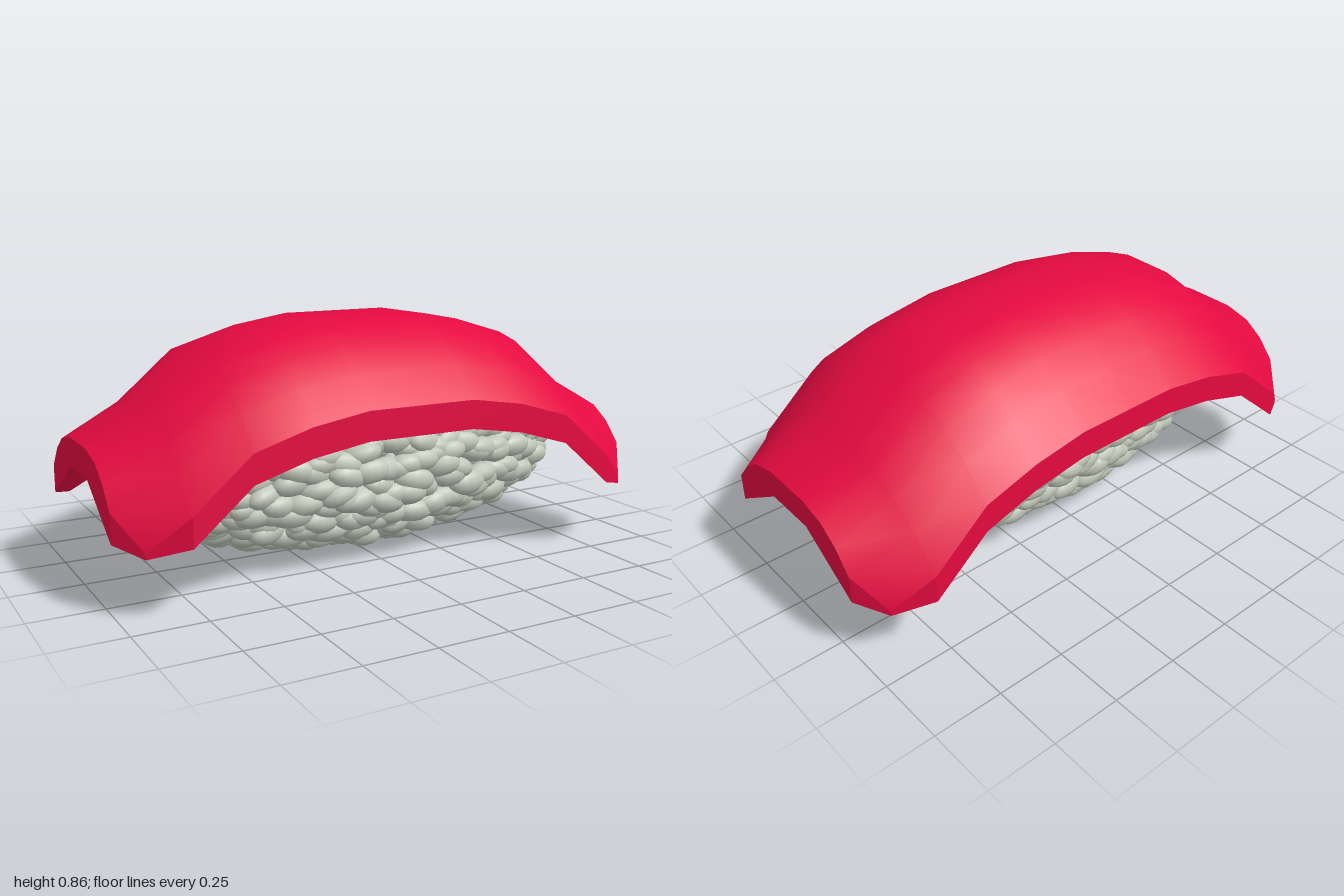
import * as THREE from 'three';
import { mergeGeometries } from 'three/addons/utils/BufferGeometryUtils.js';

const N = 10;            // cells per side of the topping
const THICK = 0.1;
const HALF_Z = 0.513;
const HEIGHT_X = [0.857, 0.857, 0.825, 0.765, 0.595, 0.487]; // centre to end
const DROP_Z = [0, 0, 0.025, 0.075, 0.15, 0.253];            // centre to side
const END_Z = [0, 0.1, 0.2, 0.275, 0.34, 0.44];              // rows drawn in at the ends

// Point on top of the draped slab at grid position i (along x), j (along z)
function topPoint(i, j) {
  const a = Math.abs(i - N / 2), b = Math.abs(j - N / 2);
  let x = a * 0.2, y = HEIGHT_X[a] - DROP_Z[b];
  const z = a === 5 ? END_Z[b] : b * HALF_Z / 5;
  if (a === 5 && b === 5) { x = 0.925; y = 0.225; }          // cut, thinned corner
  return [Math.sign(i - N / 2) * x, y, Math.sign(j - N / 2) * z];
}

// Matching point below; the end arches have straight lower flanks
function bottomPoint(i, j) {
  const [x, y, z] = topPoint(i, j);
  const b = Math.abs(j - N / 2), end = i === 0 || i === N;
  if (end && b === 5) return [x, 0.207, z];
  if (end && b > 1) return [x, 0.387 - (Math.abs(z) - 0.1) * 0.625, z];
  return [x, y - THICK, z];
}

// Smooth sheet through a grid of points; up = true faces upwards
function sheet(point, up) {
  const pos = [], index = [];
  for (let i = 0; i <= N; i++) {
    for (let j = 0; j <= N; j++) {
      pos.push(...point(i, j));
      if (i === N || j === N) continue;
      const a = i * (N + 1) + j, b = a + 1, c = a + N + 1, d = c + 1;
      if (up) index.push(a, b, d, a, d, c);
      else index.push(a, d, b, a, c, d);
    }
  }
  const g = new THREE.BufferGeometry();
  g.setAttribute('position', new THREE.Float32BufferAttribute(pos, 3));
  g.setIndex(index);
  g.computeVertexNormals();
  return g;
}

// Flat-faced vertical rim joining the two sheets
function rim() {
  const loop = [];
  for (let k = 0; k < N; k++) loop.push([k, N]);
  for (let k = N; k > 0; k--) loop.push([N, k]);
  for (let k = N; k > 0; k--) loop.push([k, 0]);
  for (let k = 0; k < N; k++) loop.push([0, k]);
  const pos = [];
  loop.forEach((here, k) => {
    const next = loop[(k + 1) % loop.length];
    const p = topPoint(...here), q = topPoint(...next);
    const pl = bottomPoint(...here), ql = bottomPoint(...next);
    pos.push(...pl, ...ql, ...q, ...pl, ...q, ...p);
  });
  const g = new THREE.BufferGeometry();
  g.setAttribute('position', new THREE.Float32BufferAttribute(pos, 3));
  g.computeVertexNormals();
  return g;
}

// Small seeded random, -1 to 1
function seeded(seed) {
  return () => {
    seed = (seed * 16807) % 2147483647;
    return (seed / 2147483647) * 2 - 1;
  };
}

// Ellipsoid mound covered in irregular, slightly tilted grains
function grains() {
  const rand = seeded(71), list = [], count = 720;
  const base = new THREE.SphereGeometry(1, 12, 8).rotateZ(Math.PI / 2);
  const m = new THREE.Matrix4(), q = new THREE.Quaternion(), e = new THREE.Euler();
  for (let k = 0; k < count; k++) {
    const u = 1 - 2 * (k + 0.5) / count;
    const t = k * 2.39996 + rand() * 0.2, r = Math.sqrt(1 - u * u);
    const s = 0.965 + rand() * 0.035;
    const p = new THREE.Vector3(u * 0.845 * s, 0.315 + Math.sin(t) * r * 0.272 * s, Math.cos(t) * r * 0.318 * s);
    q.setFromEuler(e.set(rand() * 0.3, rand() * 0.35, rand() * 0.25));
    const size = 1 + rand() * 0.08;
    m.compose(p, q, new THREE.Vector3(0.075 * size, 0.044 * size, 0.044 * size));
    list.push(base.clone().applyMatrix4(m));
  }
  return mergeGeometries(list);
}

export function createModel() {
  const model = new THREE.Group();
  const red = new THREE.MeshStandardMaterial({ color: 0xe40a40, side: THREE.DoubleSide });
  const rice = new THREE.MeshStandardMaterial({ color: 0xc0c6b8 });
  const add = (parent, name, geometry, material) => {
    const mesh = new THREE.Mesh(geometry, material);
    mesh.name = name;
    parent.add(mesh);
  };

  // Draped fish slice
  const topping = new THREE.Group();
  topping.name = 'fishSlice';
  add(topping, 'sliceTop', sheet(topPoint, true), red);
  add(topping, 'sliceUnderside', sheet(bottomPoint, false), red);
  add(topping, 'sliceRim', rim(), red);
  model.add(topping);

  // Rice mound
  add(model, 'riceGrains', grains(), rice);
  return model;
}
